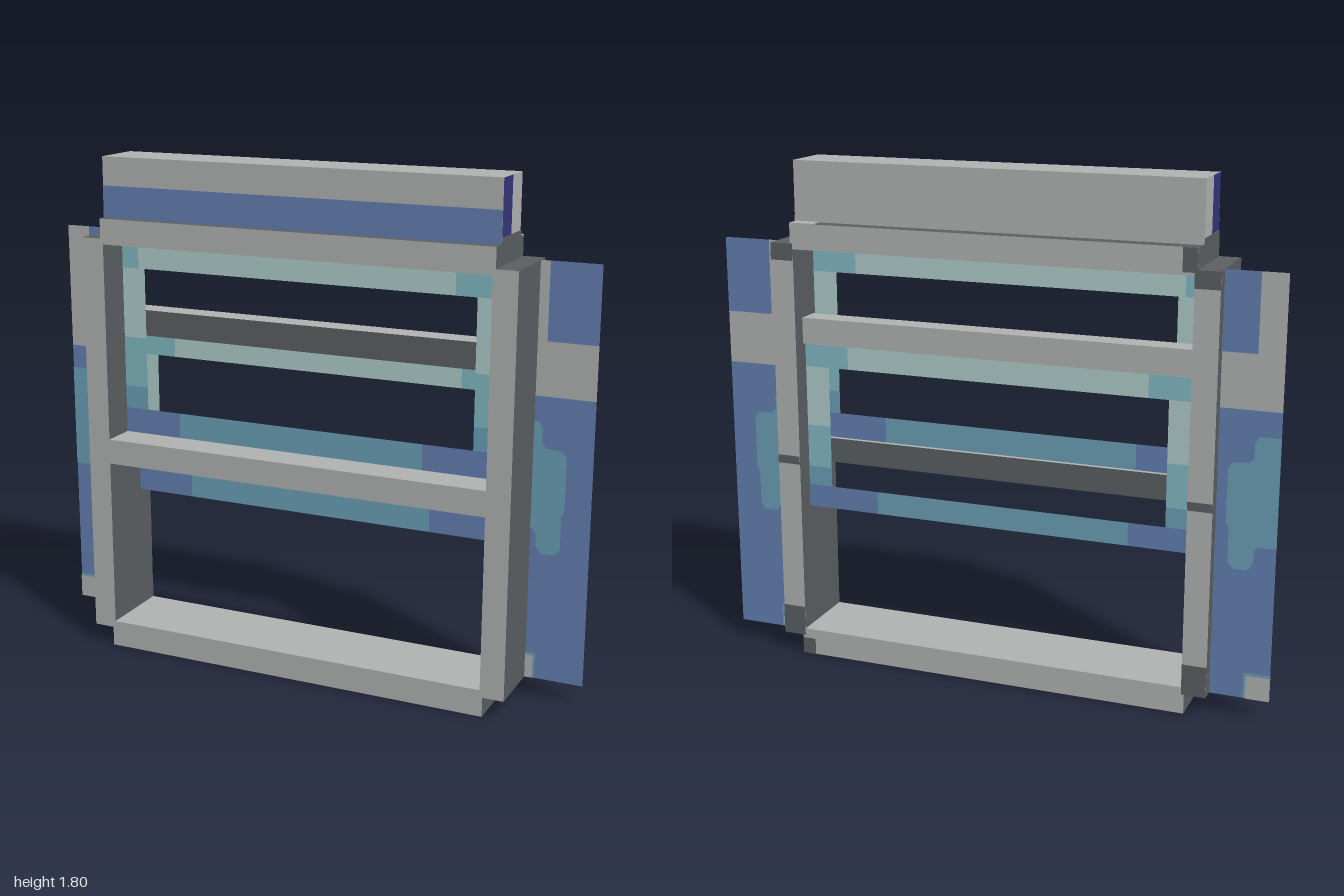
import * as THREE from 'three';

const mat = (name, color, side = THREE.FrontSide) => {
  const m = new THREE.MeshStandardMaterial({ color, side });
  m.name = name;
  return m;
};

export function createModel() {
  const root = new THREE.Group();
  root.name = 'window';
  const D = THREE.DoubleSide;
  const light = mat('lightGrey', 0xb0b3b1, D);
  const dark = mat('darkGrey', 0x5b5f61, D);
  const blue = mat('blue', 0x637fb0, D);
  const teal = mat('teal', 0x6b9fb5, D);
  const aqua = mat('aqua', 0x82b8c2, D);
  const pale = mat('paleAqua', 0xadcccb, D);
  const navy = mat('navy', 0x35357a);

  const group = (name, parent = root) => {
    const g = new THREE.Group();
    g.name = name;
    parent.add(g);
    return g;
  };
  // Box from its limits; materials in the order +x, -x, +y, -y, +z, -z
  const box = (name, [x0, x1], [y0, y1], [z0, z1], mats, parent = root) => {
    const m = new THREE.Mesh(new THREE.BoxGeometry(x1 - x0, y1 - y0, z1 - z0), mats);
    m.name = name;
    m.position.set((x0 + x1) / 2, (y0 + y1) / 2, (z0 + z1) / 2);
    parent.add(m);
    return m;
  };
  // Flat rectangle in the xy plane
  const plate = (name, x0, x1, y0, y1, z, material, parent) => {
    const m = new THREE.Mesh(new THREE.PlaneGeometry(x1 - x0, y1 - y0), material);
    m.name = name;
    m.position.set((x0 + x1) / 2, (y0 + y1) / 2, z);
    parent.add(m);
  };

  // Outer frame
  const Z = [-0.138, 0.138];
  const frame = group('frame');
  box('sill', [-0.72, 0.72], [0, 0.095], Z, [dark, dark, light, light, light, light], frame);
  box('topBeam', [-0.72, 0.72], [1.5, 1.59], Z, [dark, dark, dark, dark, light, light], frame);
  box('beamTopPatch', [0.63, 0.72], [1.589, 1.592], [-0.138, -0.088], light, frame);
  for (const s of [-1, 1]) {
    const xs = s > 0 ? [0.71, 0.795] : [-0.795, -0.71];
    const under = s > 0 ? teal : dark;
    box('sidePost', xs, [0.07, 1.52], Z, [dark, dark, dark, under, light, light], frame);
    // Dark marks on the back of the post
    for (const [y0, y1] of [[0.07, 0.18], [0.725, 0.755], [1.46, 1.52]])
      plate('postMark', xs[0], xs[1], y0, y1, -0.14, dark, frame);
  }
  plate('sillMark', 0.67, 0.72, 0.0, 0.06, -0.14, dark, frame);
  plate('beamMark', -0.72, -0.67, 1.51, 1.59, -0.14, dark, frame);

  // Header above the frame, its ends in two colours
  const header = group('header');
  box('headerFront', [-0.725, 0.725], [1.59, 1.8], [0.01, 0.1], [navy, navy, light, light, light, light], header);
  box('headerBack', [-0.725, 0.725], [1.59, 1.8], [-0.085, 0.01], light, header);
  plate('headerStripe', -0.725, 0.725, 1.588, 1.7, 0.102, blue, header);
  for (const s of [-1, 1])
    box('headerEndBand', [s * 0.726 - 0.002, s * 0.726 + 0.002], [1.59, 1.612], [-0.085, 0.1], dark, header);

  // Crossbars
  box('frontCrossbar', [-0.71, 0.71], [0.705, 0.795], [-0.005, 0.138], [dark, dark, light, dark, light, dark]);
  box('backCrossbar', [-0.71, 0.71], [1.157, 1.25], [-0.085, 0], [dark, dark, light, dark, dark, light]);

  // Flat sash frames: k runs from 0 at the bottom to 1 at the top
  const sash = (name, y0, y1, z) => {
    const g = group(name);
    const Y = (k) => y0 + k * (y1 - y0);
    const rail = (part, cuts, k0, k1, mats) =>
      mats.forEach((m, i) => plate(part, cuts[i], cuts[i + 1], Y(k0), Y(k1), z, m, g));
    rail('topRail', [-0.71, name === 'frontSash' ? -0.645 : -0.55, 0.545, 0.71], 0.86, 1, [aqua, pale, aqua]);
    rail('bottomRail', [-0.71, -0.49, 0.44, 0.71], 0, 0.135, [blue, teal, blue]);
    for (const x of [-0.71, 0.62]) {
      const cuts = [0.135, 0.25, 0.505, 0.86];
      [teal, aqua, pale].forEach((m, i) =>
        plate('stile', x, x + 0.09, Y(cuts[i]), Y(cuts[i + 1]), z, m, g));
    }
  };
  sash('frontSash', 0.79, 1.5, 0.012);
  sash('backSash', 0.55, 1.157, -0.068);

  // Thin painted shutters, the same pattern on both sides
  const patch = new THREE.Shape([
    [0, 0.61], [0.06, 0.61], [0.075, 0.595], [0.075, 0.55], [0.095, 0.525], [0.14, 0.525],
    [0.16, 0.545], [0.16, 0.665], [0.17, 0.685], [0.17, 0.87], [0.155, 0.89], [0.1, 0.895],
    [0.085, 0.91], [0.085, 0.96], [0.07, 0.985], [0, 0.985],
  ].map(([x, y]) => new THREE.Vector2(x, y)));
  for (const x of [-1, 0.74]) {
    const g = group('shutter');
    const z = -0.09;
    plate('shutterLower', x, x + 0.26, 0.07, 1.07, z, blue, g);
    plate('shutterBand', x, x + 0.26, 1.07, 1.255, z, light, g);
    plate('shutterUpperGrey', x, x + 0.088, 1.255, 1.52, z, light, g);
    plate('shutterUpperBlue', x + 0.088, x + 0.26, 1.255, 1.52, z, blue, g);
    for (const d of [-0.002, 0.002]) {
      const m = new THREE.Mesh(new THREE.ShapeGeometry(patch), teal);
      m.name = 'shutterPatch';
      m.position.set(x, 0, z + d);
      g.add(m);
      plate('shutterCornerEdge', x, x + 0.09, 0.07, 0.163, z + d, teal, g);
      plate('shutterCorner', x, x + 0.082, 0.07, 0.153, z + d * 2, light, g);
    }
  }
  return root;
}
